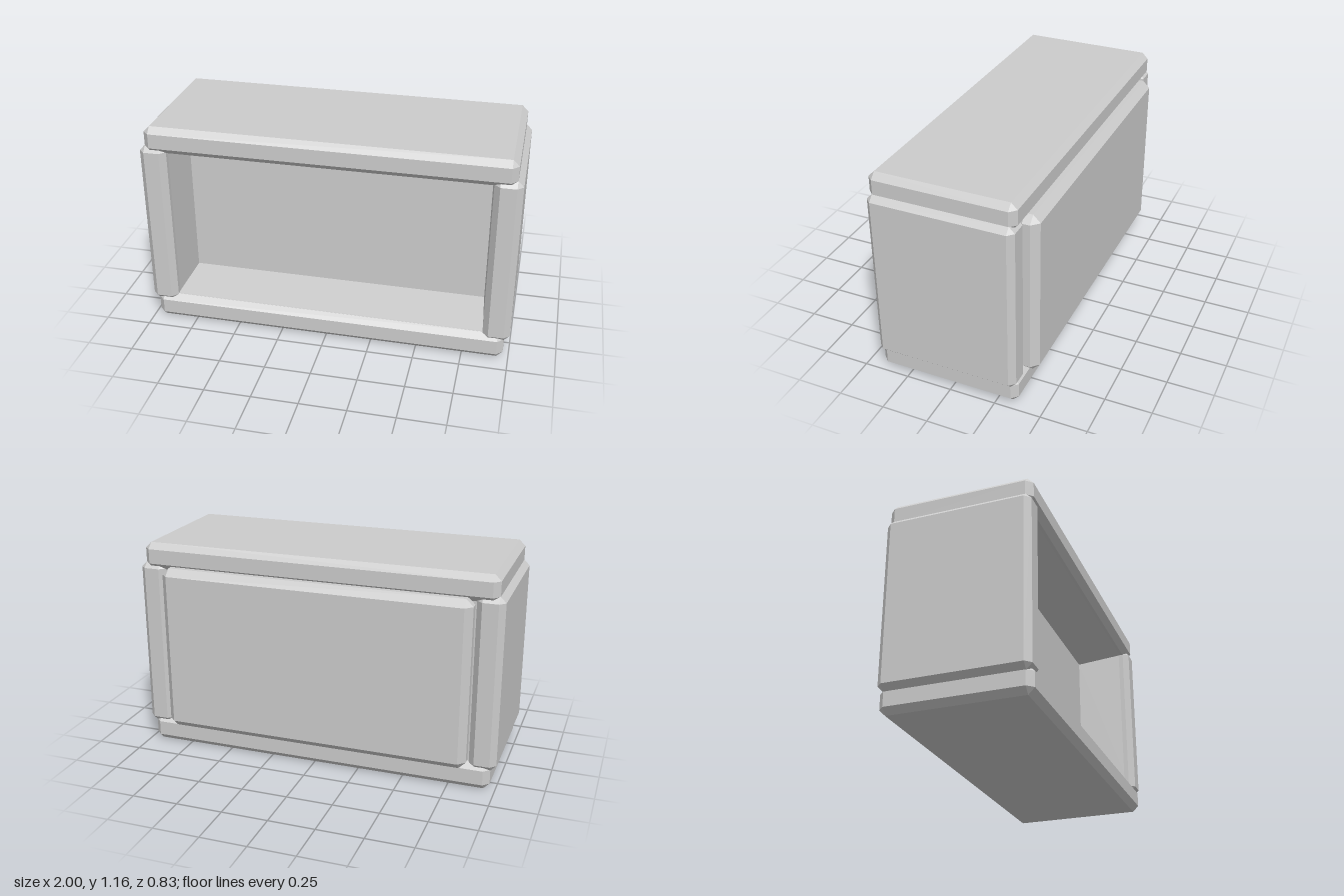
import * as THREE from 'three';
import { ConvexGeometry } from 'three/addons/geometries/ConvexGeometry.js';

const paint = new THREE.MeshStandardMaterial({ color: 0xcccccc });
paint.name = 'light grey';

// Box between two corners with all twelve edges chamfered by c
function chamferBox(min, max, c) {
  const centre = min.map((v, i) => (v + max[i]) / 2);
  const half = min.map((v, i) => (max[i] - v) / 2);
  const points = [];
  for (const sx of [-1, 1]) for (const sy of [-1, 1]) for (const sz of [-1, 1]) {
    const sign = [sx, sy, sz];
    for (let full = 0; full < 3; full++) {
      const p = sign.map((s, i) => centre[i] + s * (half[i] - (i === full ? 0 : c)));
      points.push(new THREE.Vector3(...p));
    }
  }
  return new ConvexGeometry(points);
}

// Inward-facing recess, open at the front and slightly narrower at the back
function recess(front, back, zFront, zBack) {
  const box = new THREE.BoxGeometry(2, 2, 2);
  const pos = box.attributes.position;
  for (let i = 0; i < pos.count; i++) {
    const atFront = pos.getZ(i) > 0;
    const [w, h] = atFront ? front : back;
    pos.setXYZ(i, pos.getX(i) * w, 0.583 + pos.getY(i) * h, atFront ? zFront : zBack);
  }
  // Drop the front face (indices 24 to 29) and turn the rest inside out
  const kept = Array.from(box.index.array).filter((_, i) => i < 24 || i >= 30);
  box.setIndex(kept.reverse());
  box.clearGroups();
  box.computeVertexNormals();
  return box;
}

export function createModel() {
  const group = new THREE.Group();
  group.name = 'openBox';
  const add = (name, geometry) => {
    const mesh = new THREE.Mesh(geometry, paint);
    mesh.name = name;
    group.add(mesh);
    return mesh;
  };

  // Top and bottom boards
  add('bottomBoard', chamferBox([-0.97, 0, -0.358], [0.97, 0.146, 0.417], 0.033));
  add('topBoard', chamferBox([-0.97, 1.019, -0.358], [0.97, 1.165, 0.417], 0.033));

  // Side boards
  add('leftBoard', chamferBox([0.855, 0.11, -0.358], [1, 1.055, 0.417], 0.031));
  add('rightBoard', chamferBox([-1, 0.11, -0.358], [-0.855, 1.055, 0.417], 0.031));

  // Raised back panel
  add('backPanel', chamferBox([-0.85, 0.123, -0.417], [0.85, 1.043, -0.3], 0.038));

  // Solid core behind the recess
  const core = add('core', new THREE.BoxGeometry(1.74, 0.9, 0.41));
  core.position.set(0, 0.583, -0.115);

  // Shallow front recess
  add('frontRecess', recess([0.857, 0.438], [0.835, 0.403], 0.386, 0.1));

  return group;
}
